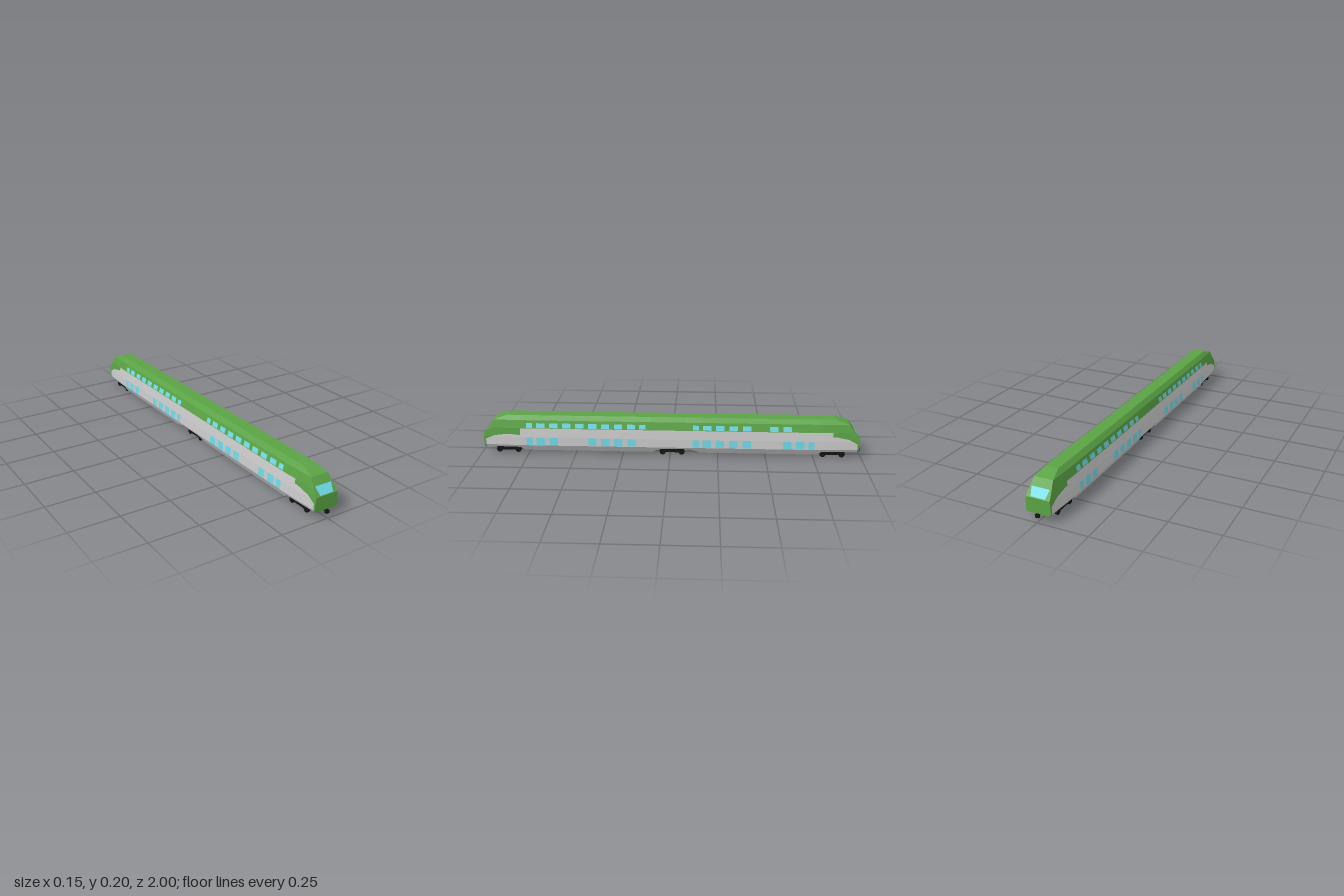
import * as THREE from 'three';

const mat = (color, side = THREE.FrontSide) =>
  new THREE.MeshStandardMaterial({ color, side, flatShading: true });
const GREEN = mat(0x5aa344), GREY = mat(0xcccccc), GLASS = mat(0x6fdcea, THREE.DoubleSide), BLACK = mat(0x141414);

// Body half-width at the crease heights, from roof edge to underside
const LEVELS = [[0.205, 0.033], [0.183, 0.052], [0.142, 0.064], [0.095, 0.0705], [0.05, 0.073], [0.017, 0.055]];
// Stations along z: z, roof height, underside height, green/grey split on +x side, on -x side
const STATIONS = [
  [-0.985, 0.11, 0.037, 0.037, 0.037],
  [-0.975, 0.123, 0.037, 0.037, 0.037],
  [-0.975, 0.123, 0.037, 0.08, 0.08],
  [-0.93, 0.183, 0.037, 0.105, 0.105],
  [-0.86, 0.205, 0.037, 0.12, 0.12],
  [-0.845, 0.205, 0.037, 0.12, 0.12],
  [-0.845, 0.205, 0.037, 0.142, 0.142],
  [-0.79, 0.205, 0.037, 0.142, 0.142],
  [-0.77, 0.205, 0.017, 0.142, 0.142],
  [-0.17, 0.205, 0.017, 0.142, 0.142],
  [-0.1, 0.205, 0.04, 0.142, 0.142],
  [0.05, 0.205, 0.04, 0.142, 0.142],
  [0.1, 0.205, 0.017, 0.142, 0.142],
  [0.77, 0.205, 0.017, 0.142, 0.142],
  [0.79, 0.205, 0.037, 0.142, 0.142],
  [0.79, 0.205, 0.037, 0.105, 0.142],
  [0.845, 0.205, 0.037, 0.11, 0.142],
  [0.845, 0.205, 0.037, 0.11, 0.12],
  [0.86, 0.205, 0.037, 0.11, 0.12],
  [0.93, 0.183, 0.037, 0.1, 0.105],
  [0.975, 0.123, 0.037, 0.08, 0.08],
  [0.975, 0.123, 0.037, 0.037, 0.037],
  [0.985, 0.11, 0.037, 0.037, 0.037],
];

function halfWidth(y, z) {
  let i = 0;
  while (i < LEVELS.length - 2 && y < LEVELS[i + 1][0]) i++;
  const [y0, w0] = LEVELS[i], [y1, w1] = LEVELS[i + 1];
  const w = w0 + (w1 - w0) * (y0 - y) / (y0 - y1);
  const taper = 1 - 0.14 * Math.max(0, (Math.abs(z) - 0.79) / 0.195);
  return w * taper;
}

// Collects quads, dropping triangles without area
class Faces {
  constructor() { this.data = []; }
  tri(a, b, c) {
    const n = b.clone().sub(a).cross(c.clone().sub(a));
    if (n.length() > 1e-8) for (const p of [a, b, c]) this.data.push(p.x, p.y, p.z);
  }
  quad(a, b, c, d, flip = false) {
    if (flip) [b, d] = [d, b];
    this.tri(a, b, c);
    this.tri(a, c, d);
  }
  mesh(name, material) {
    const g = new THREE.BufferGeometry();
    g.setAttribute('position', new THREE.Float32BufferAttribute(this.data, 3));
    g.computeVertexNormals();
    const m = new THREE.Mesh(g, material);
    m.name = name;
    return m;
  }
}

// Half cross-section of the green or grey shell at a station
function section([z, top, bottom, splitL, splitR], side, green) {
  const split = side > 0 ? splitL : splitR;
  const [lo, hi] = green ? [split, top] : [bottom, split];
  return LEVELS.map(([level]) => {
    const y = Math.min(hi, Math.max(lo, level));
    return new THREE.Vector3(side * halfWidth(y, z), y, z);
  });
}

function shell(green) {
  const f = new Faces();
  const [L, R] = [1, -1].map(s => STATIONS.map(st => section(st, s, green)));
  const last = LEVELS.length - 1;
  for (let i = 0; i < STATIONS.length - 1; i++) {
    for (const [P, flip] of [[L, false], [R, true]])
      for (let j = 0; j < last; j++)
        f.quad(P[i][j], P[i + 1][j], P[i + 1][j + 1], P[i][j + 1], flip);
    const j = green ? 0 : last; // roof or underside strip
    f.quad(R[i][j], R[i + 1][j], L[i + 1][j], L[i][j], !green);
  }
  // Flat end faces
  if (green) for (const i of [0, STATIONS.length - 1])
    for (let j = 0; j < last; j++)
      f.quad(R[i][j], R[i][j + 1], L[i][j + 1], L[i][j], i === 0);
  return f.mesh(green ? 'upperBody' : 'lowerBody', green ? GREEN : GREY);
}

// Side windows, as centre positions along z; the outermost and innermost ones are narrow
const FRONT_ROW = [0.74, 0.682, 0.612, 0.544, 0.476, 0.408, 0.34, 0.272, 0.204, 0.145];
const INNER = [-0.135, -0.193, -0.261, -0.33, -0.4];
const FRONT_LOWER = [0.74, 0.682, 0.612, 0.408, 0.34, 0.272, 0.2];
const REAR_LOWER = [...INNER, -0.61, -0.677, -0.735];
const WINDOWS = [
  [1, 0.145, 0.169, [...FRONT_ROW, ...INNER, -0.54, -0.61]],
  [-1, 0.145, 0.169, [...FRONT_ROW, ...FRONT_ROW.map(z => -z)]],
  [1, 0.052, 0.093, [...FRONT_LOWER, ...REAR_LOWER]],
  [-1, 0.052, 0.093, [...FRONT_LOWER, ...REAR_LOWER]],
];

function sideWindows() {
  const f = new Faces();
  for (const [s, y0, y1, centres] of WINDOWS)
    for (const z of centres) {
      const narrow = Math.abs(z) > 0.7 || Math.abs(z) < 0.16;
      const h = narrow ? 0.016 : 0.022;
      const p = (y, zz) => new THREE.Vector3(s * (halfWidth(y, zz) + 0.0007), y, zz);
      f.quad(p(y1, z - h), p(y1, z + h), p(y0, z + h), p(y0, z - h), s < 0);
    }
  return f.mesh('sideWindows', GLASS);
}

function windshield(dir) {
  const f = new Faces();
  const p = (x, y) => new THREE.Vector3(x, y, dir * (0.9867 - (y - 0.11) * 0.055 / 0.073));
  f.quad(p(-0.045, 0.15), p(-0.036, 0.114), p(0.036, 0.114), p(0.045, 0.15), dir < 0);
  return f.mesh(dir > 0 ? 'frontWindshield' : 'rearWindshield', GLASS);
}

function add(parent, name, geometry, x, y, z) {
  const m = new THREE.Mesh(geometry, BLACK);
  m.name = name;
  m.position.set(x, y, z);
  parent.add(m);
  return m;
}

// Two-axle bogie
function bogie(z) {
  const g = new THREE.Group();
  g.name = 'bogie';
  g.position.z = z;
  add(g, 'bogieFrame', new THREE.BoxGeometry(0.07, 0.022, 0.075), 0, 0.029, 0);
  const wheel = new THREE.CylinderGeometry(0.016, 0.016, 0.012, 10).rotateZ(Math.PI / 2);
  const axle = new THREE.CylinderGeometry(0.007, 0.007, 0.08, 8).rotateZ(Math.PI / 2);
  for (const dz of [-0.05, 0.05]) {
    add(g, 'axle', axle, 0, 0.016, dz);
    for (const s of [-1, 1]) add(g, 'wheel', wheel, s * 0.042, 0.016, dz);
  }
  for (const s of [-1, 1])
    add(g, 'sideFrame', new THREE.BoxGeometry(0.008, 0.018, 0.125), s * 0.045, 0.023, 0);
  return g;
}

export function createModel() {
  const train = new THREE.Group();
  train.name = 'railcar';
  train.add(shell(true), shell(false), sideWindows(), windshield(1), windshield(-1));
  for (const z of [0.86, -0.01, -0.85]) train.add(bogie(z));
  // Couplers at both ends
  for (const d of [1, -1]) {
    add(train, 'couplerBar', new THREE.BoxGeometry(0.008, 0.008, 0.06), 0, 0.032, d * 0.962);
    add(train, 'couplerHead', new THREE.BoxGeometry(0.018, 0.014, 0.014), 0, 0.032, d * 0.993);
  }
  return train;
}
